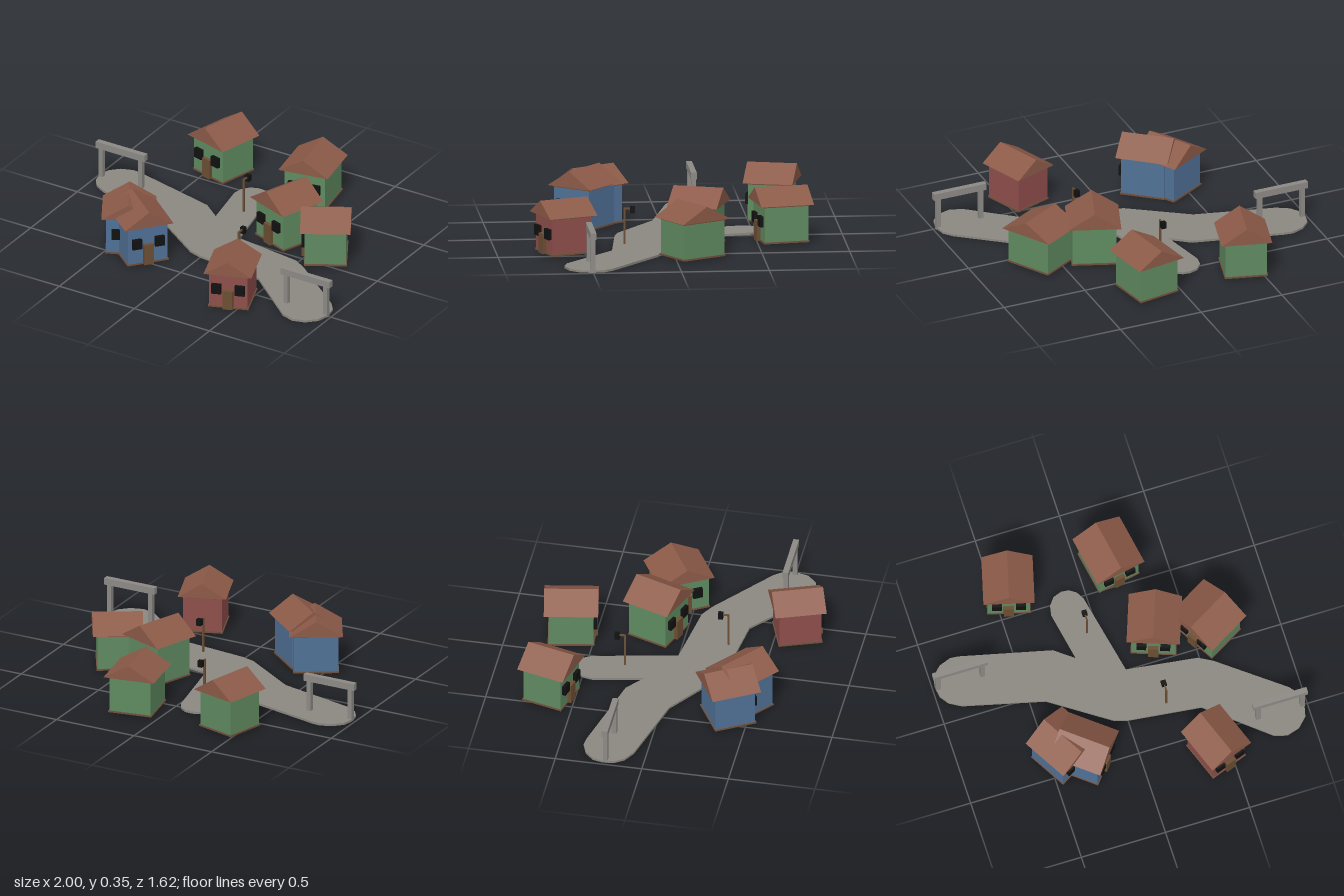
import * as THREE from 'three';

const mat = (color) => new THREE.MeshStandardMaterial({ color, flatShading: true });
const M = {
  green: mat(0x5f8a60), blue: mat(0x507196), red: mat(0x8e4e4b), roof: mat(0x8c5a48),
  wood: mat(0x6b4e33), trim: mat(0x70503c), black: mat(0x111111),
  stone: mat(0x8c8985), road: mat(0x8b8780),
};

function box(parent, name, material, w, h, d, x, y, z) {
  const mesh = new THREE.Mesh(new THREE.BoxGeometry(w, h, d), material);
  mesh.position.set(x, y, z);
  mesh.name = name;
  parent.add(mesh);
  return mesh;
}

// Gabled house; roofW x roofL is the roof footprint, the front gable faces local +z
function house(name, color, x, z, degrees, roofW, roofL, eave, peak) {
  const g = new THREE.Group();
  g.name = name;
  const base = 0.013, w = roofW - 0.053, l = roofL - 0.053, h = eave - base;
  box(g, 'walls', M[color], w, h, l, 0, base + h / 2, 0);
  box(g, 'baseTrim', M.trim, w + 0.01, 0.01, l + 0.01, 0, base + 0.005, 0);
  box(g, 'topTrim', M.trim, w + 0.01, 0.01, l + 0.01, 0, eave - 0.005, 0);

  // Roof prism
  const gable = new THREE.Shape([
    new THREE.Vector2(-roofW / 2, eave), new THREE.Vector2(roofW / 2, eave), new THREE.Vector2(0, peak),
  ]);
  const roof = new THREE.Mesh(
    new THREE.ExtrudeGeometry(gable, { depth: roofL, bevelEnabled: false }).translate(0, 0, -roofL / 2), M.roof);
  roof.name = 'roof';
  g.add(roof);

  // Door and two windows on the front
  const doorH = eave * 0.5;
  box(g, 'door', M.wood, 0.058, doorH, 0.034, 0, base + doorH / 2, l / 2 + 0.005);
  for (const s of [-1, 1]) box(g, 'window', M.black, 0.056, 0.06, 0.032, s * 0.068, eave * 0.585, l / 2 + 0.004);

  g.position.set(x, 0, z);
  g.rotation.y = THREE.MathUtils.degToRad(degrees);
  return g;
}

// Gateway: two posts and a lintel
function gate(name, x, z) {
  const g = new THREE.Group();
  g.name = name;
  for (const s of [-1, 1]) box(g, 'post', M.stone, 0.027, 0.2, 0.027, s * 0.132, 0.1, 0);
  box(g, 'lintel', M.stone, 0.324, 0.04, 0.033, 0, 0.212, 0);
  g.position.set(x, 0, z);
  return g;
}

// Lamp post: pole, arm and hanging lantern
function lampPost(x, z) {
  const g = new THREE.Group();
  g.name = 'lampPost';
  box(g, 'pole', M.wood, 0.011, 0.21, 0.011, 0, 0.115, 0.045);
  box(g, 'arm', M.wood, 0.009, 0.009, 0.055, 0, 0.217, 0.023);
  box(g, 'lantern', M.black, 0.028, 0.038, 0.028, 0, 0.21, 0);
  g.position.set(x, 0, z);
  return g;
}

// Forked road with rounded ends, outlined as x, z pairs
function road() {
  const outline = [
    [-0.80, -0.36], [-0.85, -0.365], [-0.92, -0.34], [-0.97, -0.29], [-0.985, -0.23], [-0.975, -0.16],
    [-0.94, -0.11], [-0.87, -0.07], [-0.41, 0.045], [-0.08, 0.27], [0, 0.295], [0.42, 0.345],
    [0.76, 0.63], [0.835, 0.652], [0.91, 0.63], [0.965, 0.575], [0.983, 0.50], [0.97, 0.43],
    [0.93, 0.38], [0.57, 0.10], [0.49, 0.055], [0.08, 0], [-0.02, -0.48], [-0.045, -0.525],
    [-0.085, -0.553], [-0.13, -0.557], [-0.18, -0.54], [-0.215, -0.495], [-0.225, -0.44],
    [-0.17, -0.15], [-0.28, -0.235],
  ];
  const shape = new THREE.Shape(outline.map(([x, z]) => new THREE.Vector2(x, -z)));
  const mesh = new THREE.Mesh(
    new THREE.ExtrudeGeometry(shape, { depth: 0.013, bevelEnabled: false }).rotateX(-Math.PI / 2), M.road);
  mesh.name = 'road';
  return mesh;
}

export function createModel() {
  const model = new THREE.Group();
  model.name = 'village';
  model.add(
    road(),
    gate('rightGate', -0.838, -0.215),
    gate('leftGate', 0.838, 0.5),
    lampPost(-0.063, -0.325),
    lampPost(0.238, 0.213),
    house('backRightHouse', 'green', -0.42, -0.637, -15, 0.291, 0.287, 0.237, 0.335),
    house('backLeftHouse', 'green', 0.177, -0.637, 10, 0.301, 0.309, 0.232, 0.32),
    house('middleHouse', 'green', 0.298, -0.157, -20, 0.303, 0.293, 0.252, 0.35),
    house('leftHouse', 'green', 0.598, -0.098, -60, 0.329, 0.287, 0.23, 0.317),
    house('redHouse', 'red', 0.42, 0.62, 20, 0.277, 0.295, 0.232, 0.318),
    house('blueHouse', 'blue', -0.305, 0.442, 51, 0.291, 0.306, 0.255, 0.35),
    house('blueWing', 'blue', -0.417, 0.385, 30, 0.305, 0.29, 0.242, 0.335),
  );
  return model;
}
